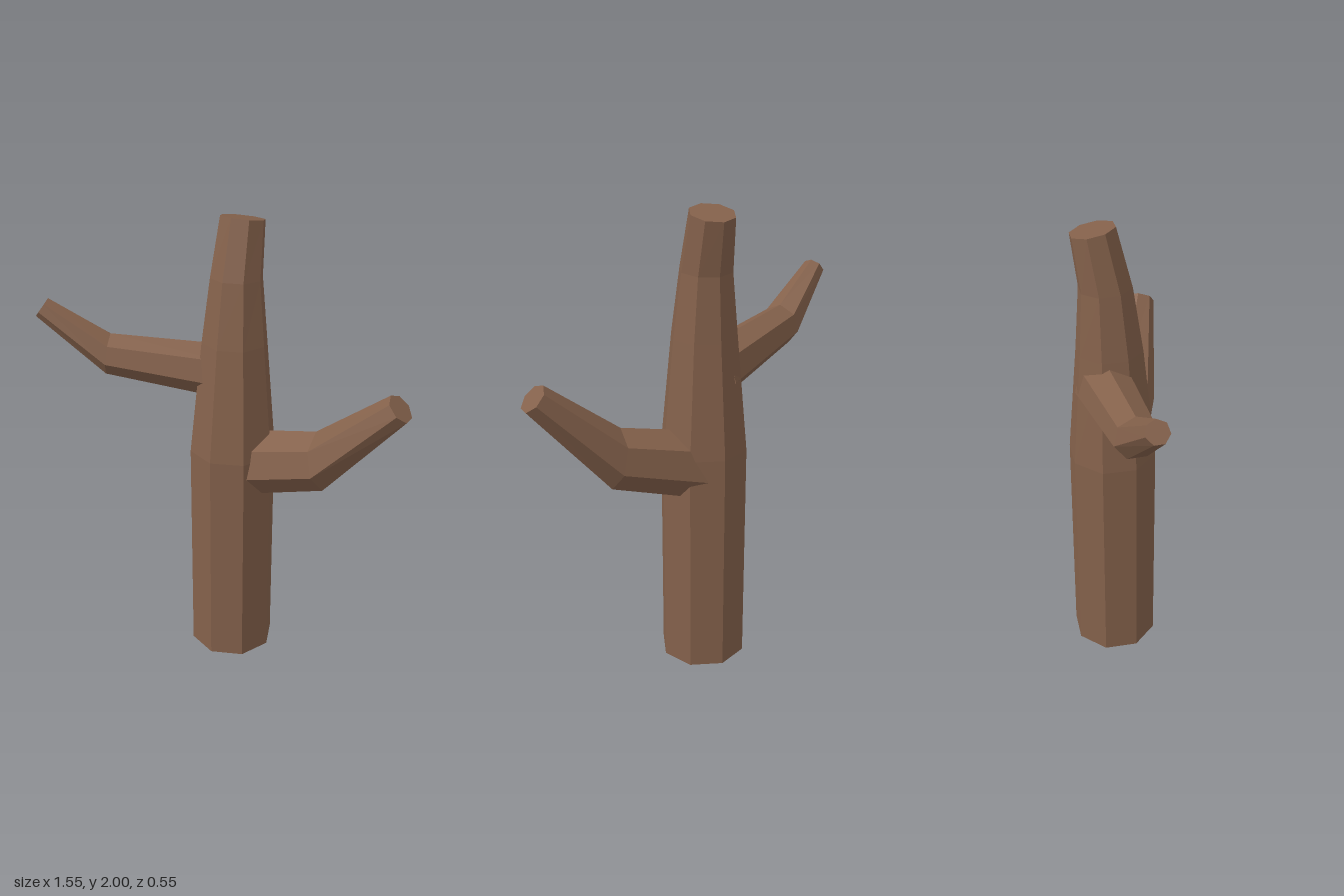
import * as THREE from 'three';

const bark = new THREE.MeshStandardMaterial({ color: 0x84614b, flatShading: true });

// Tapered, capped limb: each ring is [x, y, z, radius], square to the segment before it.
// One corner of every ring points towards `ref`.
function limb(name, rings, sides, ref) {
  const centres = rings.map(([x, y, z]) => new THREE.Vector3(x, y, z));
  const pos = [], index = [];
  centres.forEach((c, k) => {
    const j = Math.max(k, 1);
    const t = centres[j].clone().sub(centres[j - 1]).normalize();
    const u = ref.clone().addScaledVector(t, -ref.dot(t)).normalize();
    const v = t.clone().cross(u);
    for (let i = 0; i < sides; i++) {
      const a = (i / sides) * Math.PI * 2, r = rings[k][3];
      const p = c.clone().addScaledVector(u, r * Math.cos(a)).addScaledVector(v, r * Math.sin(a));
      pos.push(p.x, p.y, p.z);
    }
  });
  // side faces
  for (let k = 0; k < rings.length - 1; k++) {
    for (let i = 0; i < sides; i++) {
      const a = k * sides + i, b = k * sides + (i + 1) % sides;
      index.push(a, b, b + sides, a, b + sides, a + sides);
    }
  }
  // end caps
  const end = (rings.length - 1) * sides;
  for (let i = 1; i < sides - 1; i++) {
    index.push(0, i + 1, i, end, end + i, end + i + 1);
  }
  const indexed = new THREE.BufferGeometry();
  indexed.setAttribute('position', new THREE.Float32BufferAttribute(pos, 3));
  indexed.setIndex(index);
  const geo = indexed.toNonIndexed();
  geo.computeVertexNormals();
  const mesh = new THREE.Mesh(geo, bark);
  mesh.name = name;
  return mesh;
}

export function createModel() {
  const group = new THREE.Group();
  group.name = 'bareTree';
  const up = new THREE.Vector3(0, 1, 0);

  // Eight-sided trunk, tapering and leaning back at the top
  group.add(limb('trunk', [
    [-0.01, 0, -0.09, 0.187],
    [-0.01, 0.99, -0.09, 0.187],
    [-0.008, 1.48, -0.097, 0.14],
    [-0.008, 1.75, -0.11, 0.11],
    [-0.008, 1.981, -0.157, 0.094],
  ], 8, new THREE.Vector3(1, 0, 0)));

  // Seven-sided branches, each with one upward bend
  group.add(limb('leftBranch', [
    [0, 0.913, -0.11, 0.147],
    [0.412, 1.03, -0.11, 0.128],
    [0.734, 1.345, -0.112, 0.064],
  ], 7, up));

  group.add(limb('rightBranch', [
    [-0.03, 1.327, -0.122, 0.12],
    [-0.503, 1.391, 0.11, 0.089],
    [-0.747, 1.588, 0.23, 0.047],
  ], 7, up));

  return group;
}
